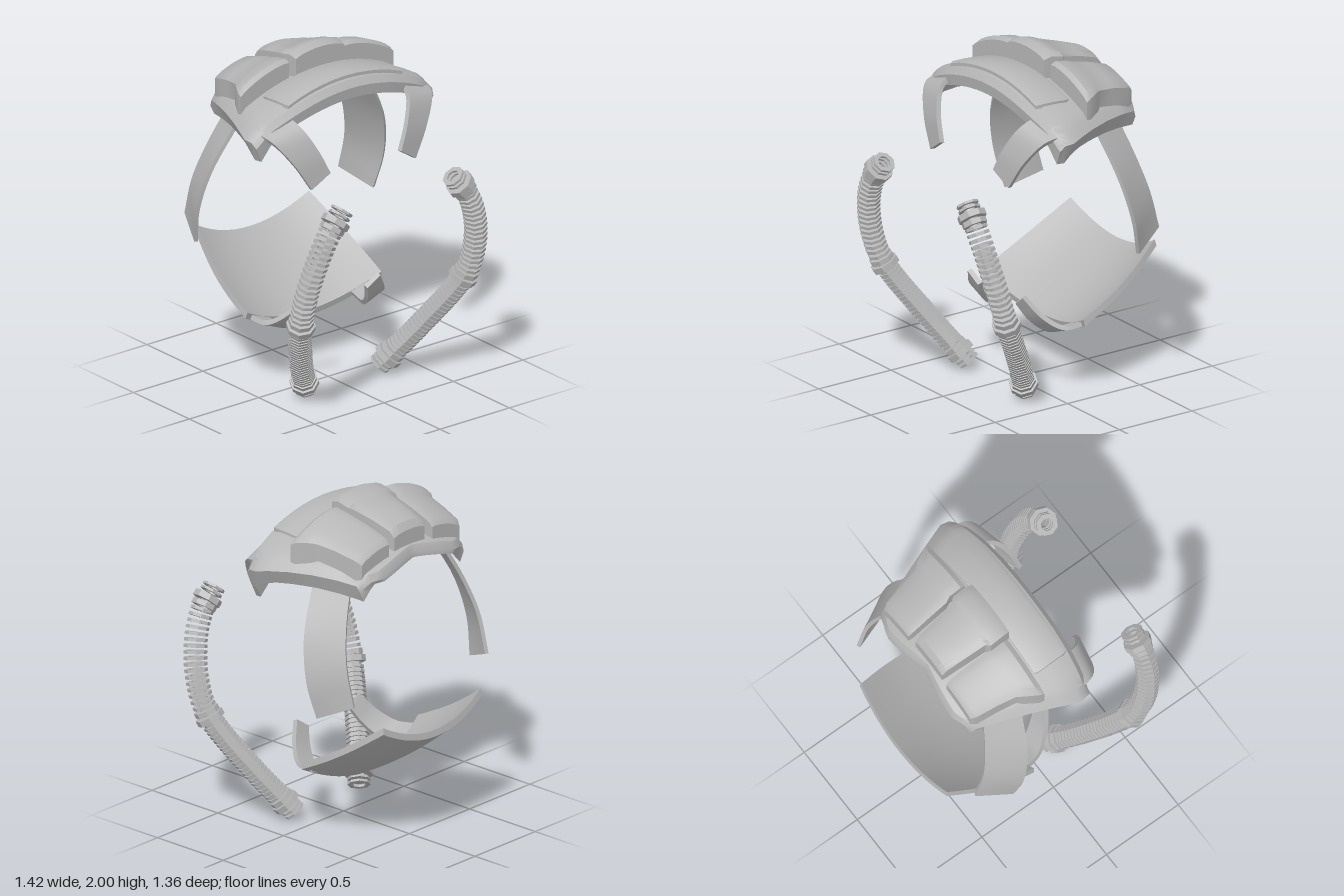
import * as THREE from 'three';
import { toCreasedNormals } from 'three/addons/utils/BufferGeometryUtils.js';

const V = (x, y, z) => new THREE.Vector3(x, y, z);
const lerp = THREE.MathUtils.lerp;
const clamp = THREE.MathUtils.clamp;

// Turns a closed geometry outward (by its signed volume) and sharpens its edges
function finish(geo, crease = 0.6) {
  const p = geo.attributes.position, ix = geo.index.array;
  const a = V(), b = V(), c = V();
  let volume = 0;
  for (let i = 0; i < ix.length; i += 3) {
    a.fromBufferAttribute(p, ix[i]);
    b.fromBufferAttribute(p, ix[i + 1]);
    c.fromBufferAttribute(p, ix[i + 2]);
    volume += a.dot(b.cross(c));
  }
  if (volume < 0) {
    for (let i = 0; i < ix.length; i += 3) [ix[i], ix[i + 1]] = [ix[i + 1], ix[i]];
  }
  return toCreasedNormals(geo, crease);
}

// Closed slab between two surfaces outer(i, j) and inner(i, j), i = 0..nu, j = 0..nv
function slab(outer, inner, nu, nv) {
  const pos = [], index = [];
  for (const f of [outer, inner])
    for (let i = 0; i <= nu; i++)
      for (let j = 0; j <= nv; j++) pos.push(...f(i, j).toArray());
  const n = (nu + 1) * (nv + 1);
  const id = (k, i, j) => k * n + i * (nv + 1) + j;
  const quad = (a, b, c, d) => index.push(a, b, c, a, c, d);
  for (let i = 0; i < nu; i++) {
    for (let j = 0; j < nv; j++) {
      quad(id(0, i, j), id(0, i + 1, j), id(0, i + 1, j + 1), id(0, i, j + 1));
      quad(id(1, i, j), id(1, i, j + 1), id(1, i + 1, j + 1), id(1, i + 1, j));
    }
    quad(id(0, i, 0), id(1, i, 0), id(1, i + 1, 0), id(0, i + 1, 0));
    quad(id(0, i, nv), id(0, i + 1, nv), id(1, i + 1, nv), id(1, i, nv));
  }
  for (let j = 0; j < nv; j++) {
    quad(id(0, 0, j), id(0, 0, j + 1), id(1, 0, j + 1), id(1, 0, j));
    quad(id(0, nu, j), id(1, nu, j), id(1, nu, j + 1), id(0, nu, j + 1));
  }
  const geo = new THREE.BufferGeometry();
  geo.setAttribute('position', new THREE.Float32BufferAttribute(pos, 3));
  geo.setIndex(index);
  return finish(geo);
}

// Height and half width of the domed top shell
const domeY = (x, z) => 1.862 + 0.08 * x - 0.27 * x * x - 0.45 * z * z;
const domeW = (x) => x < 0.07
  ? 0.43 + 0.23 * clamp((x + 0.52) / 0.59, -0.08, 1)
  : 0.66 - 3.5 * (x - 0.07) ** 2;

function shellGeometry() {
  // [position from back to front, height offset]
  const top = [[0, -0.035], [0.03, 0], [0.2, 0], [0.4, 0], [0.6, 0], [0.75, 0], [0.88, 0], [0.96, -0.015], [1, -0.055]];
  const under = [[0, -0.06], [0.03, -0.06], [0.2, -0.06], [0.4, -0.06], [0.6, -0.06], [0.75, -0.06], [0.86, -0.07], [0.93, -0.11], [0.99, -0.12]];
  const nv = 28;
  const side = (j) => {
    const t = (j / nv) * 2 - 1;
    return Math.sign(t) * (1 - (1 - Math.abs(t)) ** 1.3);
  };
  const surface = (rows, width, edgeDrop) => (i, j) => {
    const t = side(j), a = Math.abs(t);
    const back = -0.53 - 0.04 * Math.sin(Math.min(a / 0.75, 1) * Math.PI / 2) + 0.05 * Math.max(0, (a - 0.75) / 0.25);
    const front = 0.2 - 0.05 * a ** 4;
    const x = lerp(back, front, rows[i][0]);
    const z = t * domeW(x) * width;
    return V(x, domeY(x, z) + rows[i][1] - edgeDrop * clamp((a - 0.88) / 0.12, 0, 1), z);
  };
  return slab(surface(top, 1, 0.04), surface(under, 0.93, 0.085), top.length - 1, nv);
}

// Padded block on the dome; rows are [x, z from, z to, height]
function padGeometry(rows, s = 1, edge = 0.85) {
  const nv = 10;
  const at = (raised) => (i, j) => {
    const [x, z0, z1, h] = rows[i], v = j / nv;
    const z = s * lerp(z0, z1, v);
    const soft = lerp(edge, 1, Math.sin(v * Math.PI) ** 0.5);
    return V(x, domeY(x, z) + (raised ? h * soft : -0.03), z);
  };
  return slab(at(true), at(false), rows.length - 1, nv);
}

// Curved strap between two edge curves, thickened toward the inside
function strapGeometry(edgeA, edgeB, thick, s) {
  const curve = (pts) => new THREE.CatmullRomCurve3(pts.map(([x, y, z]) => V(x, y, z * s)));
  const a = curve(edgeA), b = curve(edgeB), nu = 14, nv = 4;
  const outer = (i, j) => a.getPoint(i / nu).lerp(b.getPoint(i / nu), j / nv);
  const inner = (i, j) => {
    const u = i / nu, p = outer(i, j);
    const n = a.getTangent(u).add(b.getTangent(u)).cross(b.getPoint(u).sub(a.getPoint(u))).normalize();
    if (n.dot(p.clone().sub(V(-0.2, 1.05, 0))) < 0) n.negate();
    return p.addScaledVector(n, -thick);
  };
  return slab(outer, inner, nu, nv);
}

// Tilted tray that curls up at both sides
function lowerPlateGeometry() {
  const nu = 10, nv = 20;
  const outer = (i, j) => {
    const u = i / nu, t = (j / nv) * 2 - 1, k = t * t;
    const bow = Math.sin(u * Math.PI);
    const x = lerp(lerp(-0.71, -0.2, u), lerp(-0.68, -0.13, u), k);
    const y = lerp(lerp(0.65, 0.3, u), lerp(0.77, 0.435, u), k) - 0.02 * bow;
    return V(x, y, t * (lerp(0.41, 0.49, u) + 0.025 * bow));
  };
  const inner = (i, j) => {
    const p = outer(i, j);
    return V(p.x + 0.008, p.y + 0.037, p.z * 0.985);
  };
  return slab(outer, inner, nu, nv);
}

// Eight-sided hollow ring
function ringGeometry(r, h) {
  const ri = 0.038, y = h / 2;
  const profile = [[ri, -y], [r, -y], [r, y], [ri, y], [ri, -y]].map(([a, b]) => new THREE.Vector2(a, b));
  return finish(new THREE.LatheGeometry(profile, 8), 0.3);
}

function createHose(material, s) {
  const hose = new THREE.Group();
  const path = new THREE.CatmullRomCurve3([
    [0.13, 0.05, 0.27], [0.29, 0.3, 0.43], [0.49, 0.63, 0.59], [0.56, 0.83, 0.605],
    [0.61, 1.05, 0.56], [0.625, 1.2, 0.49], [0.62, 1.31, 0.4],
  ].map(([x, y, z]) => V(x, y, z * s)));
  const total = 1.49, up = V(0, 1, 0);
  const add = (name, geo, places) => places.forEach((d) => {
    const ring = new THREE.Mesh(geo, material);
    const u = clamp(d / total, 0, 1);
    ring.name = name;
    ring.position.copy(path.getPointAt(u));
    ring.quaternion.setFromUnitVectors(up, path.getTangentAt(u));
    hose.add(ring);
  });
  const run = (from, to, step) => Array.from({ length: Math.floor((to - from) / step) + 1 }, (_, i) => from + i * step);
  add('hoseEndDisc', ringGeometry(0.066, 0.014), [0, 0.027, 1.458, 1.487]);
  add('hoseNut', ringGeometry(0.084, 0.036), [0.068, 0.725, 1.415]);
  add('hoseCollar', ringGeometry(0.073, 0.03), [0.105, 0.765, 1.375]);
  add('hoseLowerRib', ringGeometry(0.068, 0.018), run(0.138, 0.7, 0.027));
  add('hoseLowerCore', ringGeometry(0.057, 0.028), run(0.1515, 0.7, 0.027));
  add('hoseUpperRib', ringGeometry(0.067, 0.018), run(0.8, 1.35, 0.034));
  return hose;
}

export function createModel() {
  const model = new THREE.Group();
  const grey = new THREE.MeshStandardMaterial({ color: 0xb6b6b6 });
  grey.name = 'grey';
  const add = (name, geo) => {
    const mesh = new THREE.Mesh(geo, grey);
    mesh.name = name;
    model.add(mesh);
  };

  // Top shell with its raised front band and centre pad
  add('topShell', shellGeometry());
  add('frontBand', padGeometry([[-0.07, -0.41, 0.41, 0.012], [-0.05, -0.42, 0.42, 0.02], [0.05, -0.42, 0.42, 0.02], [0.13, -0.42, 0.42, 0.02], [0.155, -0.41, 0.41, 0.008]], 1, 0.7));
  add('centrePad', padGeometry([[-0.5, -0.125, 0.125, 0.09], [-0.47, -0.13, 0.13, 0.122], [-0.35, -0.143, 0.143, 0.128],
    [-0.22, -0.155, 0.155, 0.13], [-0.2, -0.18, 0.18, 0.145], [-0.12, -0.18, 0.18, 0.15], [-0.07, -0.175, 0.175, 0.125]]));

  add('lowerPlate', lowerPlateGeometry());

  // Mirrored parts
  for (const s of [1, -1]) {
    const end = s > 0 ? 'Front' : 'Back';
    add('sidePad' + end, padGeometry([[-0.51, 0.18, 0.405, 0.08], [-0.48, 0.175, 0.425, 0.105], [-0.35, 0.18, 0.45, 0.11],
      [-0.24, 0.185, 0.475, 0.112], [-0.21, 0.2, 0.5, 0.127], [-0.13, 0.2, 0.545, 0.127], [-0.1, 0.2, 0.55, 0.105]], s));
    add('sideStrap' + end, strapGeometry(
      [[-0.21, 1.63, 0.47], [-0.28, 1.32, 0.635], [-0.34, 1.07, 0.68], [-0.39, 0.86, 0.65]],
      [[-0.41, 1.63, 0.38], [-0.47, 1.4, 0.49], [-0.53, 1.18, 0.555], [-0.59, 0.95, 0.56]], 0.022, s));
    add('upperHook' + end, strapGeometry(
      [[0.1, 1.67, 0.61], [0.21, 1.64, 0.58], [0.29, 1.5, 0.48], [0.32, 1.33, 0.375]],
      [[0.13, 1.75, 0.42], [0.25, 1.68, 0.385], [0.315, 1.55, 0.32], [0.34, 1.41, 0.255]], 0.028, s));
    add('lowerHook' + end, strapGeometry(
      [[-0.17, 0.42, 0.455], [-0.03, 0.41, 0.42], [0.07, 0.48, 0.35], [0.14, 0.59, 0.265]],
      [[-0.17, 0.36, 0.31], [-0.03, 0.355, 0.28], [0.07, 0.43, 0.23], [0.13, 0.53, 0.18]], 0.028, s));
    const hose = createHose(grey, s);
    hose.name = 'hose' + end;
    model.add(hose);
  }
  return model;
}
